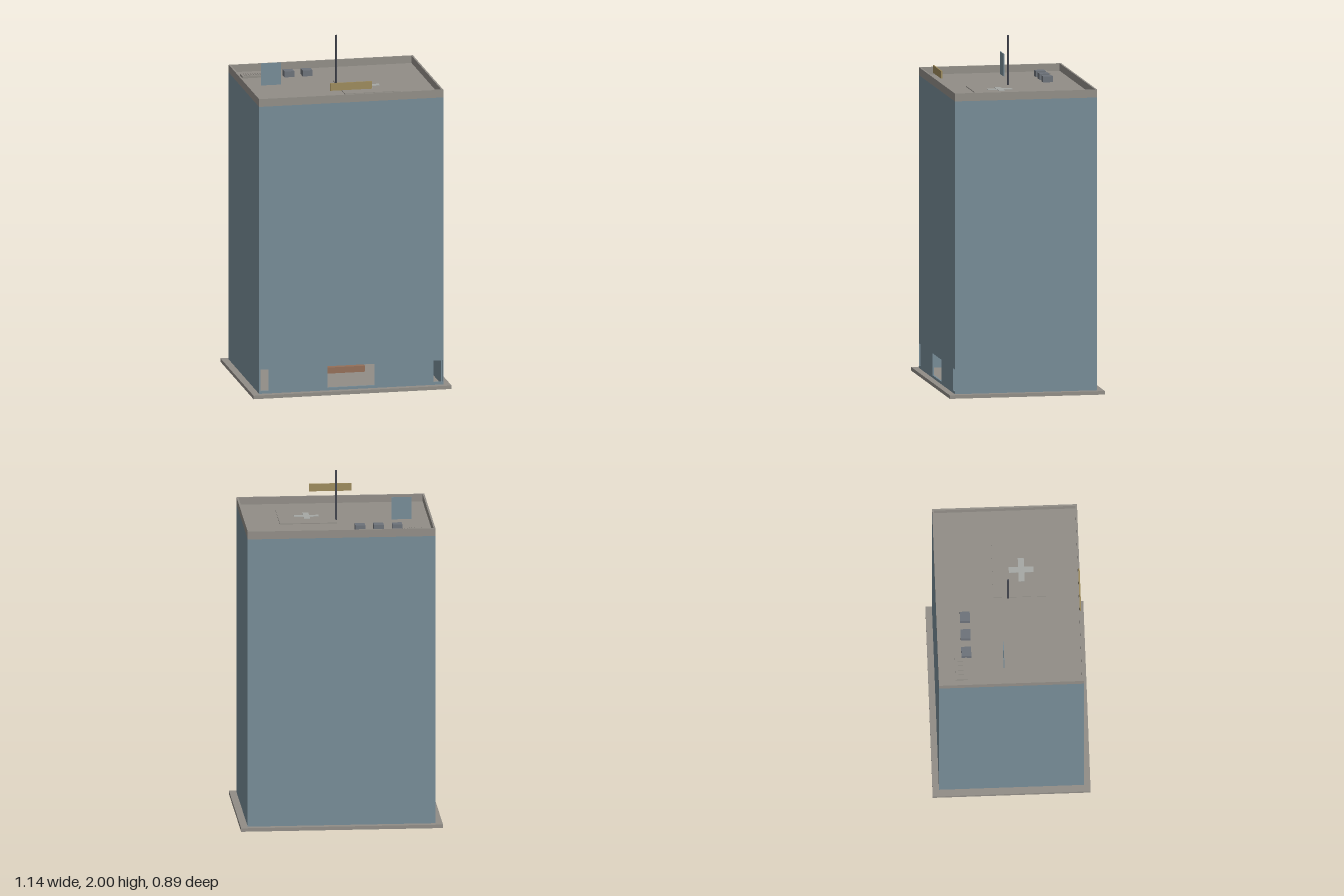
import * as THREE from 'three';

const mat = (color) => new THREE.MeshStandardMaterial({ color });

export function createModel() {
  const group = new THREE.Group();
  const glass = mat(0x768b96), stone = mat(0x918d87), metal = mat(0x6d727a);
  const dark = mat(0x41434c), pale = mat(0xa6a8a5), gold = mat(0x9c8a5c), wood = mat(0x946f58);

  const add = (name, geometry, material, parent = group) => {
    const mesh = new THREE.Mesh(geometry, material);
    mesh.name = name;
    parent.add(mesh);
    return mesh;
  };
  // box given by its lower and upper limits on each axis
  const box = (name, material, x0, x1, y0, y1, z0, z1, parent) => {
    const mesh = add(name, new THREE.BoxGeometry(x1 - x0, y1 - y0, z1 - z0), material, parent);
    mesh.position.set((x0 + x1) / 2, (y0 + y1) / 2, (z0 + z1) / 2);
    return mesh;
  };
  const rect = (target, x0, x1, y0, y1) => {
    target.moveTo(x0, y0).lineTo(x1, y0).lineTo(x1, y1).lineTo(x0, y1).closePath();
    return target;
  };

  const W = 0.53, D = 0.408, T = 0.01;
  const base = 0.045, roof = 1.71, top = 1.755;

  // ground slab and the small block beneath it
  box('groundSlab', stone, -0.57, 0.57, 0.025, base, -0.445, 0.445);
  box('undersideBlock', metal, -0.41, -0.32, 0, 0.044, -0.14, -0.05);

  // hollow tower, with a doorway and two corner openings in the front wall
  const front = rect(new THREE.Shape(), -W, W, base, roof);
  for (const [x0, x1] of [[-0.135, 0.135], [-0.525, -0.475], [0.475, 0.525]]) {
    front.holes.push(rect(new THREE.Path(), x0, x1, 0.06, 0.185));
  }
  const frontGeometry = new THREE.ExtrudeGeometry(front, { depth: T, bevelEnabled: false });
  add('frontWall', frontGeometry, glass).position.z = D - T;
  box('backWall', glass, -W, W, base, roof, -D, -D + T);
  for (const s of [-1, 1]) {
    const wall = add(s > 0 ? 'leftWall' : 'rightWall',
      new THREE.BoxGeometry(T, roof - base, 2 * (D - T)), glass);
    wall.position.set(s * (W - T / 2), (base + roof) / 2, 0);
  }
  box('receptionDesk', wood, -0.16, 0.16, base, 0.08, -0.03, 0.03);

  // roof deck and parapet
  box('roofDeck', stone, -W + T, W - T, roof - 0.015, roof + 0.003, -D + T, D - T);
  const rim = rect(new THREE.Shape(), -W, W, -D, D);
  rim.holes.push(rect(new THREE.Path(), -W + T, W - T, -D + T, D - T));
  const rimGeometry = new THREE.ExtrudeGeometry(rim, { depth: top - roof, bevelEnabled: false });
  rimGeometry.rotateX(-Math.PI / 2);
  add('parapet', rimGeometry, stone).position.y = roof;

  // helipad with a cross marking
  const deck = roof + 0.003;
  box('helipad', stone, 0, 0.323, deck, deck + 0.005, -0.083, 0.24);
  const crossShape = new THREE.Shape();
  const a = 0.07, b = 0.017;
  [[-b, -a], [b, -a], [b, -b], [a, -b], [a, b], [b, b],
    [b, a], [-b, a], [-b, b], [-a, b], [-a, -b], [-b, -b]]
    .forEach(([x, y], i) => (i ? crossShape.lineTo(x, y) : crossShape.moveTo(x, y)));
  const crossGeometry = new THREE.ExtrudeGeometry(crossShape, { depth: 0.003, bevelEnabled: false });
  crossGeometry.rotateX(-Math.PI / 2);
  add('helipadCross', crossGeometry, pale).position.set(0.162, deck + 0.005, 0.08);

  // row of air conditioning units
  for (let i = 0; i < 3; i++) {
    const x = -0.326 + i * 0.105;
    box('airConditioner', metal, x - 0.028, x + 0.028, deck, deck + 0.034, -0.275, -0.219);
  }

  // low roof vent with slats
  const vent = new THREE.Group();
  vent.name = 'roofVent';
  group.add(vent);
  box('ventFrame', stone, -0.486, -0.356, deck, deck + 0.012, -0.313, -0.244, vent);
  for (let i = 0; i < 8; i++) {
    const x = -0.466 + i * 0.0135;
    box('ventSlat', stone, x - 0.005, x + 0.005, deck + 0.012, deck + 0.015, -0.303, -0.256, vent);
  }

  // mast, roof panel and front sign board
  box('mast', dark, -0.005, 0.005, deck, 2, -0.005, 0.005);
  box('roofPanel', glass, -0.423, -0.31, 1.72, 1.848, -0.04, -0.036);
  box('signBoard', gold, -0.12, 0.12, 1.782, 1.825, 0.4, 0.408);

  return group;
}
